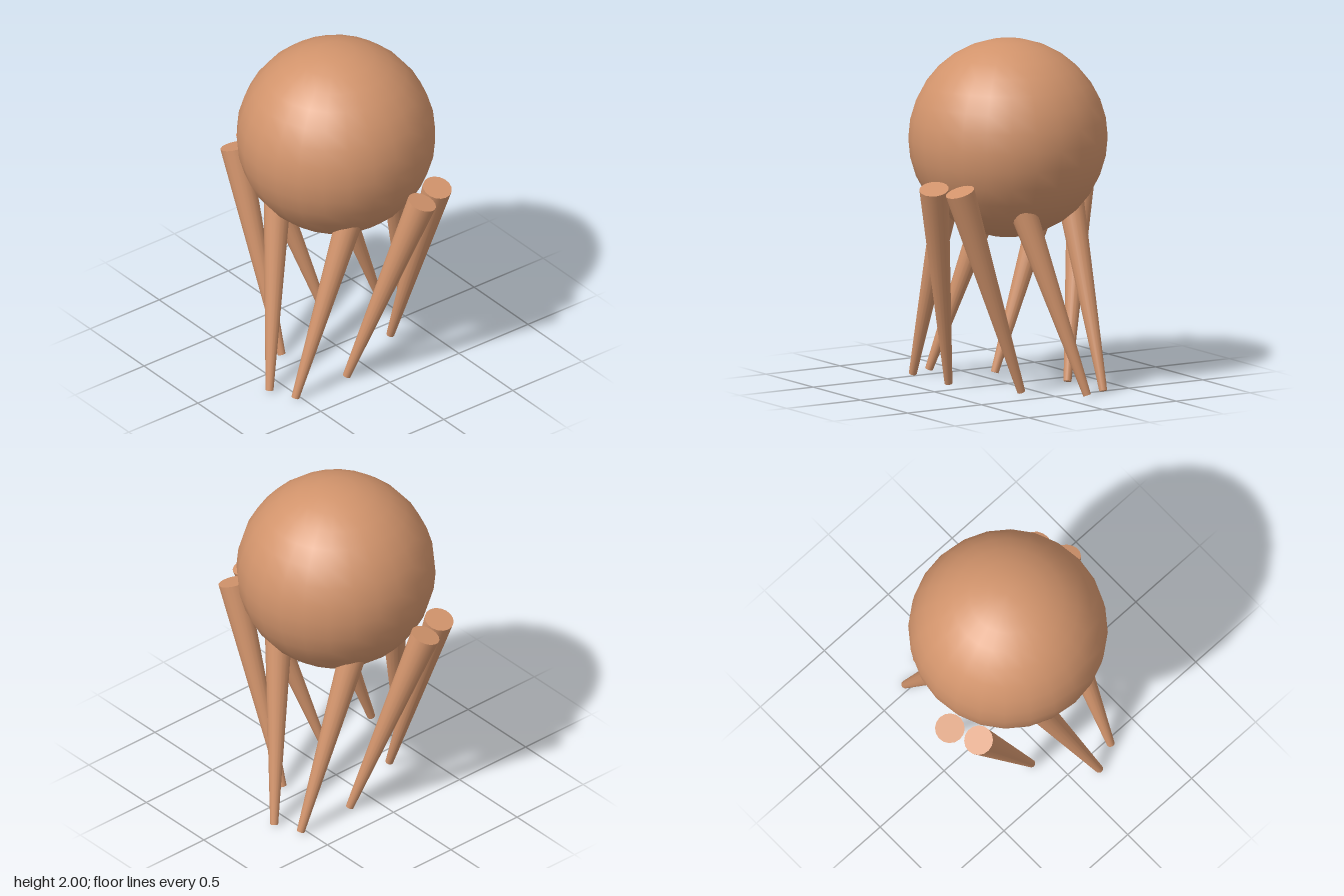
import * as THREE from 'three';

export function createModel() {
  const model = new THREE.Group();
  const skin = new THREE.MeshStandardMaterial({ color: 0xd2946c });
  skin.name = 'tan skin';

  // Round body
  const body = new THREE.Mesh(new THREE.SphereGeometry(0.57, 24, 16), skin);
  body.name = 'body';
  body.position.y = 1.43;
  model.add(body);

  // Tapered leg between its thick top and thin tip
  const up = new THREE.Vector3(0, 1, 0);
  function addLeg(name, top, tip) {
    const axis = top.clone().sub(tip);
    const leg = new THREE.Mesh(
      new THREE.CylinderGeometry(0.085, 0.023, axis.length(), 16), skin);
    leg.name = name;
    leg.position.copy(top).add(tip).multiplyScalar(0.5);
    leg.quaternion.setFromUnitVectors(up, axis.normalize());
    model.add(leg);
  }

  // Four legs [top, tip], repeated by a half turn about the vertical axis
  const legs = [
    ['frontCrossingLeg', [0.155, 1.21, 0.6], [-0.158, 0.01, 0.302]],
    ['frontUprightLeg', [0.32, 1.21, 0.53], [0.31, 0.01, 0.108]],
    ['sideFrontLeg', [-0.105, 1.21, 0.325], [-0.532, 0.01, 0.305]],
    ['sideLeg', [-0.3, 1.21, -0.15], [-0.6, 0.01, 0.152]],
  ];
  for (const [name, top, tip] of legs) {
    for (const s of [1, -1]) {
      addLeg(name + (s > 0 ? '' : 'Opposite'),
        new THREE.Vector3(top[0] * s, top[1], top[2] * s),
        new THREE.Vector3(tip[0] * s, tip[1], tip[2] * s));
    }
  }
  return model;
}
